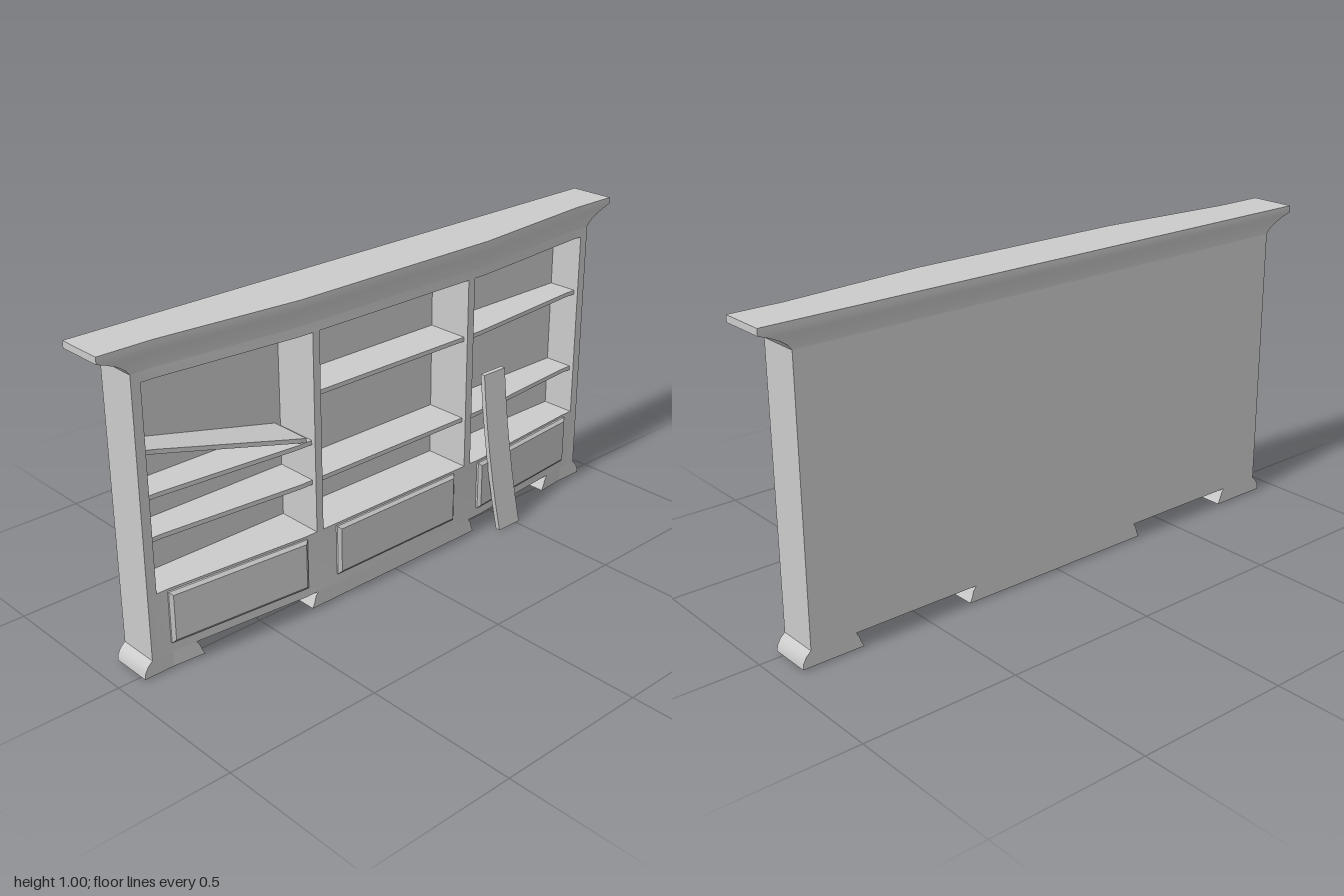
import * as THREE from 'three';
import { toCreasedNormals } from 'three/addons/utils/BufferGeometryUtils.js';

const BACK = -0.11, BENDS = [-0.83, -0.37, 0.37, 0.83];
const material = new THREE.MeshStandardMaterial({ color: 0xcccccc, side: THREE.DoubleSide });

// Depth of the breakfront face at x: shallow ends, sloping to a deeper centre
const front = x => 0.025 + 0.04 * THREE.MathUtils.clamp((0.83 - Math.abs(x)) / 0.46, 0, 1);

export function createModel() {
  const model = new THREE.Group();

  const add = (name, geometry, smooth = true) => {
    const g = smooth ? toCreasedNormals(geometry, 0.6) : geometry;
    const mesh = new THREE.Mesh(g, material);
    mesh.name = name;
    model.add(mesh);
    return mesh;
  };

  // Upright block whose front follows the breakfront line
  const block = (name, x0, x1, y0, y1, back = BACK, inset = 0) => {
    const xs = [x0, ...BENDS.filter(b => b > x0 && b < x1), x1];
    const pts = [[x0, -back], ...xs.map(x => [x, inset - front(x)]), [x1, -back]];
    const shape = new THREE.Shape(pts.map(p => new THREE.Vector2(...p)));
    const g = new THREE.ExtrudeGeometry(shape, { depth: y1 - y0, bevelEnabled: false });
    g.rotateX(-Math.PI / 2).translate(0, y0, 0);
    return add(name, g);
  };

  // Carcass
  block('base', -0.9, 0.9, 0.055, 0.26);
  block('topRail', -0.9, 0.9, 0.89, 0.92);
  block('rightPost', -0.9, -0.87, 0.26, 0.89);
  block('leftPost', 0.87, 0.9, 0.26, 0.89);
  block('rightDivider', -0.325, -0.3, 0.26, 0.89);
  block('leftDivider', 0.298, 0.325, 0.26, 0.89);
  add('backPanel', new THREE.BoxGeometry(1.74, 0.63, 0.02).translate(0, 0.575, -0.1));

  // Shelves, set back from the face
  const shelves = [
    [-0.87, -0.325, [0.412, 0.54]],
    [-0.3, 0.298, [0.412, 0.687]],
    [0.325, 0.87, [0.412, 0.687]],
  ];
  for (const [x0, x1, heights] of shelves)
    for (const y of heights) block('shelf', x0, x1, y, y + 0.014, -0.09, 0.015);

  // Fallen shelf, sheared down towards the divider
  const fallen = block('fallenShelf', -0.87, -0.345, 0.677, 0.691, -0.09, 0.015);
  const fp = fallen.geometry.attributes.position;
  for (let i = 0; i < fp.count; i++) fp.setY(i, fp.getY(i) - 0.235 * (fp.getX(i) + 0.87));
  fallen.geometry.computeVertexNormals();

  // Feet: outlines pulled through the depth of the case
  const foot = (name, pts) => {
    const shape = new THREE.Shape(pts.map(p => new THREE.Vector2(...p)));
    const g = new THREE.ExtrudeGeometry(shape, { depth: 1, bevelEnabled: false });
    const p = g.attributes.position;
    for (let i = 0; i < p.count; i++) p.setZ(i, p.getZ(i) < 0.5 ? BACK : front(p.getX(i)));
    g.computeVertexNormals();
    add(name, g);
  };
  const outer = [[0.83, 0.005], [0.928, 0.005], [0.926, 0.022], [0.916, 0.04], [0.9, 0.055], [0.83, 0.055]];
  const inner = [[0.83, 0.005], [0.83, 0.055], [0.752, 0.055], [0.742, 0.04], [0.736, 0.022], [0.727, 0.005]];
  for (const s of [1, -1])
    for (const half of [outer, inner]) {
      const pts = half.map(([x, y]) => [s * x, y]);
      foot(s > 0 ? 'leftFoot' : 'rightFoot', s > 0 ? pts : pts.reverse());
    }
  const flare = [[0.348, 0.005], [0.34, 0.022], [0.335, 0.04], [0.325, 0.055]];
  foot('centrePlinth', [...flare, ...flare.map(([x, y]) => [-x, y]).reverse()]);

  // Cornice: plan outlines flaring out as they rise [y, half width, overhang]
  const levels = [[0.92, 0.9, 0], [0.935, 0.912, 0.001], [0.953, 0.938, 0.003],
    [0.968, 0.97, 0.006], [0.979, 1, 0.008], [1, 1, 0.008]];
  const pos = [], idx = [], n = 8;
  levels.forEach(([y, w, o], k) => {
    pos.push(-w, y, BACK - o);
    for (const x of [-w, ...BENDS, w]) pos.push(x, y, front(x) + o);
    pos.push(w, y, BACK - o);
    if (k === levels.length - 1) return;
    for (let i = 0; i < n; i++) {
      const a = k * n + i, b = k * n + (i + 1) % n;
      idx.push(a, b, b + n, a, b + n, a + n);
    }
  });
  const top = (levels.length - 1) * n;
  for (let i = 1; i < n - 1; i++) idx.push(top, top + i, top + i + 1);
  const cornice = new THREE.BufferGeometry();
  cornice.setAttribute('position', new THREE.Float32BufferAttribute(pos, 3));
  cornice.setIndex(idx);
  add('cornice', cornice);

  // Drawer fronts with chamfered edges, lying along the face
  const drawer = (x0, x1) => {
    const w = x1 - x0, h = 0.165, c = 0.01;
    const g = new THREE.BoxGeometry(w, h, 0.03, 1, 1, 2);
    const p = g.attributes.position;
    for (let i = 0; i < p.count; i++) {
      const z = p.getZ(i);
      if (z > 0.01) {
        p.setX(i, p.getX(i) * (1 - 2 * c / w));
        p.setY(i, p.getY(i) * (1 - 2 * c / h));
      }
      p.setZ(i, z > 0.01 ? 0.014 : z > -0.01 ? 0.006 : -0.01);
    }
    const mid = (x0 + x1) / 2;
    const mesh = add('drawerFront', toCreasedNormals(g, 0.1), false);
    mesh.position.set(mid, 0.17, front(mid));
    mesh.rotation.y = Math.atan2(front(x0) - front(x1), w);
  };
  drawer(-0.835, -0.365);
  drawer(-0.25, 0.247);
  drawer(0.357, 0.83);

  // Loose plank leaning on the front, slightly bowed
  const plank = new THREE.BoxGeometry(0.095, 0.543, 0.016, 1, 6, 1).translate(0, 0.2715, 0);
  const pp = plank.attributes.position;
  for (let i = 0; i < pp.count; i++) {
    const t = pp.getY(i) / 0.543;
    pp.setX(i, pp.getX(i) + 0.468 - 0.066 * t + 0.042 * t * t);
    pp.setZ(i, pp.getZ(i) + 0.11 - 0.067 * t);
  }
  add('leaningPlank', plank);

  return model;
}
